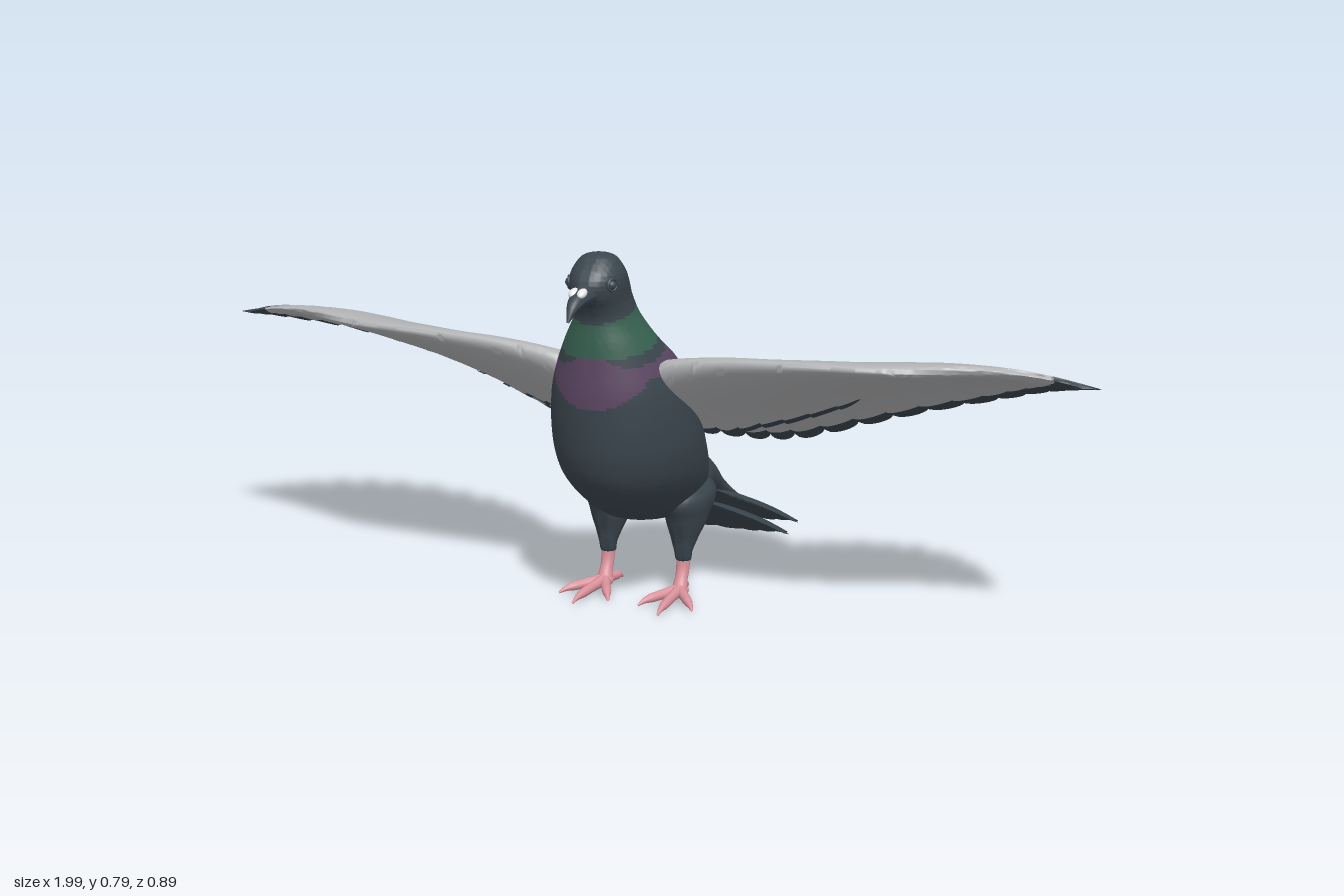
import * as THREE from 'three';
import { toCreasedNormals } from 'three/addons/utils/BufferGeometryUtils.js';

const V = (x, y, z) => new THREE.Vector3(x, y, z);
const material = (name, color) => {
  const m = new THREE.MeshStandardMaterial({ color });
  m.name = name;
  return m;
};
const smooth = THREE.MathUtils.smoothstep;

// Smooth grid surface; pick() gives the material index of each cell from its centre and row
function grid(nu, nv, point, { flip = false, pick = () => 0, crease = 1.2 } = {}) {
  const pts = [], lists = [[], [], []], c = V(0, 0, 0);
  for (let i = 0; i <= nu; i++) for (let j = 0; j <= nv; j++) pts.push(point(i / nu, j / nv));
  for (let i = 0; i < nu; i++) for (let j = 0; j < nv; j++) {
    const a = i * (nv + 1) + j, b = a + nv + 1;
    c.copy(pts[a]).add(pts[b + 1]).multiplyScalar(0.5);
    const tris = flip ? [a, b + 1, b, a, a + 1, b + 1] : [a, b, b + 1, a, b + 1, a + 1];
    lists[pick(c, j)].push(...tris);
  }
  const g = new THREE.BufferGeometry().setFromPoints(pts);
  g.setIndex(lists.flat());
  let start = 0;
  lists.forEach((l, k) => {
    if (l.length) g.addGroup(start, l.length, k);
    start += l.length;
  });
  return toCreasedNormals(g, crease);
}

// Elliptical loft along y; rows are [y, zFront, zBack, halfWidth]
function loft(rows, nu, nv, options) {
  const depth = new THREE.CatmullRomCurve3(rows.map(r => V(r[0], r[1], r[2])), false, 'catmullrom');
  const width = new THREE.CatmullRomCurve3(rows.map(r => V(r[3], 0, 0)), false, 'catmullrom');
  return grid(nu, nv, (u, v) => {
    const d = depth.getPoint(u), w = Math.max(0, width.getPoint(u).x), a = (v % 1) * Math.PI * 2;
    return V(w * Math.cos(a), d.x, (d.y + d.z) / 2 + (d.y - d.z) / 2 * Math.sin(a));
  }, options);
}

// Tube whose radius follows a list of values
function taper(points, radii, segs = 16) {
  const curve = new THREE.CatmullRomCurve3(points.map(p => V(...p)));
  const g = new THREE.TubeGeometry(curve, segs, 1, 12), pos = g.attributes.position, p = V(0, 0, 0);
  for (let k = 0; k < pos.count; k++) {
    const t = Math.floor(k / 13) / segs, c = curve.getPointAt(t);
    const f = t * (radii.length - 1), i = Math.min(Math.floor(f), radii.length - 2);
    const r = THREE.MathUtils.lerp(radii[i], radii[i + 1], f - i);
    p.fromBufferAttribute(pos, k).sub(c).multiplyScalar(r).add(c);
    pos.setXYZ(k, p.x, p.y, p.z);
  }
  g.computeVertexNormals();
  return g;
}

// Point function of a feathered fan: u across the feathers, v from root to tip, side +1 top or -1 bottom
function fanSurface({ lead, trail, feathers, thick, camber, relief, scallop }) {
  const L = new THREE.CatmullRomCurve3(lead.map(p => V(...p)), false, 'catmullrom');
  const T = new THREE.CatmullRomCurve3(trail.map(p => V(...p)), false, 'catmullrom');
  return (u, v, side, mirror = 1, lift = 0) => {
    const f = (u * feathers + 1e-6) % 1, k = 2 * f - 1;
    const w = v - scallop * (1 - Math.sqrt(Math.max(0, 1 - k * k))) * v ** 6;
    const p = L.getPoint(u).lerp(T.getPoint(u), w);
    const end = Math.sqrt(Math.min(1, (1 - u) * feathers, u * feathers));
    const h = THREE.MathUtils.lerp(thick[0], thick[1], u) * 2.6 * Math.sqrt(v) * (1 - v) * end;
    p.y += camber * Math.sin(Math.PI * v) + relief * (f - 0.5) * smooth(v, 0.35, 0.8) * end + side * (h + lift);
    p.x *= mirror;
    return p;
  };
}

// Closed fan with a separate material on its rim
function fan(surface, feathers, rim, mirror = 1) {
  const R = 30, K = 23;
  return grid(feathers * 10, R * 2, (u, q) => {
    const j = Math.round(q * R * 2), row = j <= R ? j : 2 * R - j, m = rim(u);
    const v = row <= K ? m * (row / K) ** 1.5 : m + (1 - m) * (row - K) / (R - K);
    return surface(u, v, j <= R ? 1 : -1, mirror);
  }, { flip: mirror < 0, pick: (c, j) => (j >= K && j < 2 * R - K ? 1 : 0) });
}

export function createModel() {
  const slate = material('slate plumage', 0x3b464e);
  const grey = material('pale grey wing', 0xb3b4b6);
  const green = material('green neck', 0x376150);
  const purple = material('purple breast', 0x5c4763);
  const pink = material('pink legs', 0xdb929b);
  const white = material('white cere', 0xe6e6e6);
  const model = new THREE.Group();
  const add = (name, geometry, mat, parent = model) => {
    const mesh = new THREE.Mesh(geometry, mat);
    mesh.name = name;
    parent.add(mesh);
    return mesh;
  };

  // Body, neck and head with coloured collar bands
  add('body', loft([
    [.17, .05, .05, 0], [.178, .125, -.06, .07], [.2, .19, -.11, .1], [.25, .265, -.12, .13],
    [.3, .31, -.085, .148], [.35, .33, -.05, .155], [.4, .338, -.02, .155], [.45, .342, .01, .15],
    [.5, .344, .04, .14], [.55, .342, .075, .122], [.6, .34, .135, .095], [.65, .338, .175, .067],
    [.68, .35, .19, .058], [.7, .366, .2, .056], [.725, .372, .215, .057], [.75, .362, .233, .054],
    [.775, .336, .255, .04], [.785, .32, .272, .024], [.789, .296, .296, 0],
  ], 144, 80, {
    pick: c => {
      const d = 0.34 - c.z, low = 0.573 + 0.2 * d;
      if (c.y > low && c.y < 0.645 + 0.27 * d) return 1;
      const gap = 0.024 * smooth(Math.abs(c.x), 0.02, 0.08);
      return c.y < low - gap && c.y > 0.47 + Math.min(d, 0.06) ? 2 : 0;
    },
  }), [slate, green, purple]);

  // Beak, cere and eyes
  add('beak', taper([[0, .712, .34], [0, .708, .385], [0, .694, .42], [0, .668, .443]], [.03, .022, .014, .002]), slate);
  for (const s of [-1, 1]) {
    const cere = add('cere', new THREE.SphereGeometry(0.011, 16, 12), white);
    cere.position.set(s * 0.009, 0.72, 0.395);
    cere.scale.set(0.9, 0.75, 1.4);
    cere.rotation.x = 0.4;
    const eye = add('eye', new THREE.SphereGeometry(0.01, 16, 12), slate);
    eye.position.set(s * 0.046, 0.73, 0.335);
    const lid = add('eyelid', new THREE.TorusGeometry(0.012, 0.003, 8, 24), slate);
    lid.position.set(s * 0.048, 0.73, 0.335);
    lid.rotation.y = s * 1.2;
  }

  // Tail root, lofted backwards
  add('tailRoot', loft([
    [-.03, .27, .27, 0], [0, .33, .18, .11], [.06, .31, .174, .12], [.115, .25, .155, .12],
    [.175, .187, .13, .138], [.25, .14, .095, .165], [.33, .095, .072, .165], [.36, .075, .07, 0],
  ], 48, 48).rotateX(-Math.PI / 2), slate);

  // Two layers of tail feathers
  const half = [[.23, .08, -.29], [.2, .064, -.36], [.13, .045, -.41], [.05, .032, -.442]];
  const tips = [...half.map(([x, y, z]) => [-x, y, z]), ...half.reverse()];
  const roots = tips.map((p, i) => [-.115 + .23 * i / 7, .2, -.08]);
  const layers = [['upperTail', 12, 1, 0, 0], ['lowerTail', 10, .95, -.02, .035]];
  for (const [name, feathers, sx, dy, dz] of layers) {
    const move = ([x, y, z]) => [x * sx, y + dy, z + dz];
    const surface = fanSurface({
      lead: roots.map(move), trail: tips.map(move), feathers,
      thick: [.012, .012], camber: .004, relief: .006, scallop: .07,
    });
    add(name, fan(surface, feathers, () => 0.85), [slate, slate]);
  }

  // Wing surface: feathers fan out around the wrist
  const FEATHERS = 18;
  const wing = fanSurface({
    lead: [[.08, .53, .25], [.16, .553, .262], [.26, .57, .27], [.36, .578, .274], [.45, .583, .275], [.52, .584, .272],
      [.56, .584, .267], [.585, .583, .262], [.6, .582, .257], [.61, .58, .252], [.615, .58, .25]],
    trail: [[.1, .38, .1], [.16, .36, .03], [.23, .337, -.055], [.31, .332, -.125], [.43, .36, -.185], [.57, .4, -.2],
      [.72, .445, -.175], [.84, .49, -.1], [.93, .525, 0], [.98, .548, .08], [.997, .556, .12]],
    feathers: FEATHERS, thick: [.045, .008], camber: .018, relief: .006, scallop: .1,
  });
  const rim = u => 0.87 - 0.1 * smooth(u, 0.6, 1);

  // Dark wing bar as (u, v) points on the wing
  const bar = new THREE.CatmullRomCurve3(
    [[.12, .9], [.23, .72], [.34, .615], [.4, .555], [.44, .47]].map(p => V(p[0], p[1], 0)));
  const barV = u => {
    let lo = 0, hi = 1;
    for (let k = 0; k < 24; k++) {
      const mid = (lo + hi) / 2;
      if (bar.getPoint(mid).x < u) lo = mid; else hi = mid;
    }
    return bar.getPoint(lo).y;
  };

  for (const s of [1, -1]) {
    const side = s > 0 ? 'left' : 'right';
    const wingGroup = new THREE.Group();
    wingGroup.name = side + 'Wing';
    model.add(wingGroup);
    add('wingFeathers', fan(wing, FEATHERS, rim, s), [grey, slate], wingGroup);
    for (const face of [1, -1]) {
      add('wingBar', grid(57, 6, (a, b) => {
        const u = (22 + a * 57) / 180, w = 0.032 * Math.sqrt(Math.min(1, (1 - a) * 6 + 0.05));
        return wing(u, barV(u) + (b - 0.5) * 2 * w, face, s, 0.003);
      }, { flip: s * face < 0 }), slate, wingGroup);
    }

    // Thigh, shank and four toes
    const leg = new THREE.Group();
    leg.name = side + 'Leg';
    leg.position.x = s * 0.09;
    model.add(leg);
    add('thigh', loft([
      [.078, .063, .063, 0], [.08, .078, .046, .016], [.1, .084, .042, .02], [.13, .09, .022, .03],
      [.175, .106, -.025, .045], [.23, .12, -.06, .05], [.29, .03, .03, 0],
    ], 36, 28), slate, leg);
    add('shank', taper([[0, .1, .06], [0, .06, .066], [0, .035, .076], [0, .012, .085]], [.017, .015, .014, .018]), pink, leg);
    const foot = add('foot', new THREE.SphereGeometry(0.022, 20, 14), pink, leg);
    foot.scale.set(0.9, 0.65, 1.2);
    foot.position.set(0, 0.015, 0.085);
    for (const [x, z] of [[.01, .23], [.068, .175], [-.055, .185], [-.012, .012]]) {
      add('toe', taper([[0, .017, .085], [s * x * .5, .015, (z + .085) / 2], [s * x * .85, .011, z * .85 + .013], [s * x, .004, z]],
        [.014, .011, .01, .002]), pink, leg);
    }
  }
  return model;
}
